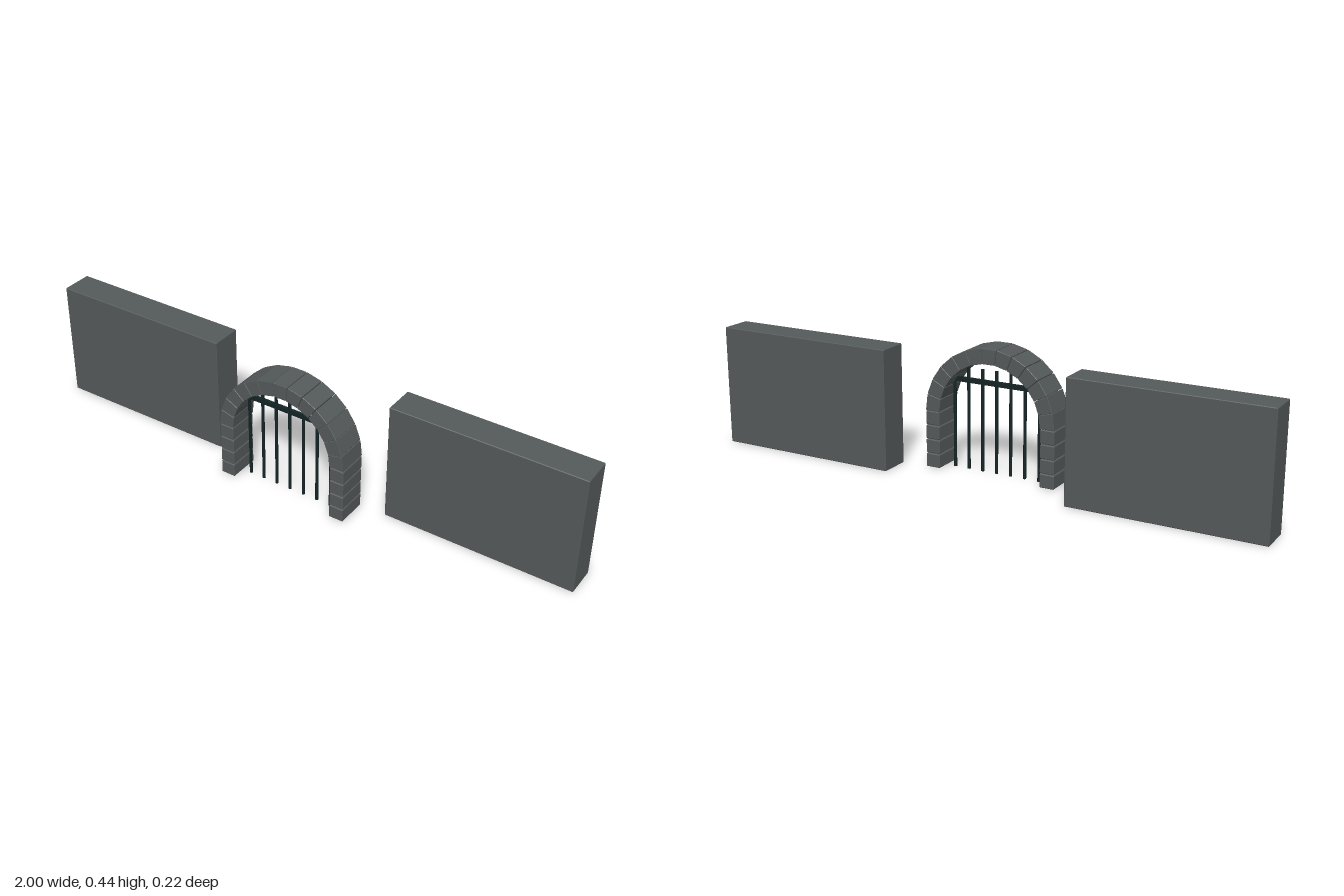
import * as THREE from 'three';
import { ConvexGeometry } from 'three/addons/geometries/ConvexGeometry.js';

const stone = new THREE.MeshStandardMaterial({ color: 0x545959 });
stone.name = 'grey stone';
const iron = new THREE.MeshStandardMaterial({ color: 0x142324 });
iron.name = 'black iron';

// Block with a small chamfer c along every edge
function chamferedBlock(w, h, d, c) {
  const half = [w / 2, h / 2, d / 2];
  const points = [];
  for (const sx of [-1, 1]) for (const sy of [-1, 1]) for (const sz of [-1, 1]) {
    for (let axis = 0; axis < 3; axis++) {
      const p = [sx, sy, sz].map((s, i) => s * (half[i] - (i === axis ? 0 : c)));
      points.push(new THREE.Vector3(...p));
    }
  }
  return new ConvexGeometry(points);
}

function addMesh(parent, name, geo, material, x, y, z) {
  const mesh = new THREE.Mesh(geo, material);
  mesh.name = name;
  mesh.position.set(x, y, z);
  parent.add(mesh);
  return mesh;
}

export function createModel() {
  const model = new THREE.Group();
  model.name = 'archedGateAndWalls';
  const archZ = 0.056;

  // Wall slabs on either side, set behind the arch
  const wallGeo = chamferedBlock(0.666, 0.421, 0.111, 0.002);
  addMesh(model, 'leftWall', wallGeo, stone, 0.667, 0.2105, -0.0555);
  addMesh(model, 'rightWall', wallGeo, stone, -0.667, 0.2105, -0.0555);

  // Jambs: four stacked stones each side
  const arch = new THREE.Group();
  arch.name = 'stoneArch';
  model.add(arch);
  const jambGeo = chamferedBlock(0.052, 0.047, 0.11, 0.002);
  for (const side of [-1, 1]) {
    for (let i = 0; i < 4; i++) {
      addMesh(arch, 'jambStone', jambGeo, stone, side * 0.216, 0.0255 + i * 0.05, archZ);
    }
  }

  // Ring of tapered arch stones
  const count = 13, step = Math.PI / count, inner = 0.188, outer = 0.24;
  const mid = (inner + outer) / 2, springY = 0.201;
  const archGeo = chamferedBlock(2 * mid * Math.tan(step / 2) - 0.002, outer - inner, 0.112, 0.001);
  const p = archGeo.attributes.position;
  for (let i = 0; i < p.count; i++) p.setX(i, p.getX(i) * (mid + p.getY(i)) / mid);
  archGeo.computeVertexNormals();
  for (let i = 0; i < count; i++) {
    const a = (i + 0.5) * step;
    const s = addMesh(arch, 'archStone', archGeo, stone,
      Math.cos(a) * mid, springY + Math.sin(a) * mid, archZ);
    s.rotation.z = a - Math.PI / 2;
  }

  // Iron grille: seven uprights and one crossbar
  const gate = new THREE.Group();
  gate.name = 'ironGate';
  model.add(gate);
  for (let i = -3; i <= 3; i++) {
    const h = Math.abs(i) === 3 ? 0.312 : 0.355;
    addMesh(gate, 'uprightBar', new THREE.CylinderGeometry(0.0055, 0.0055, h, 10), iron,
      i * 0.0533, h / 2, archZ);
  }
  addMesh(gate, 'crossbar', new THREE.BoxGeometry(0.325, 0.016, 0.012), iron, 0, 0.311, archZ);

  return model;
}
